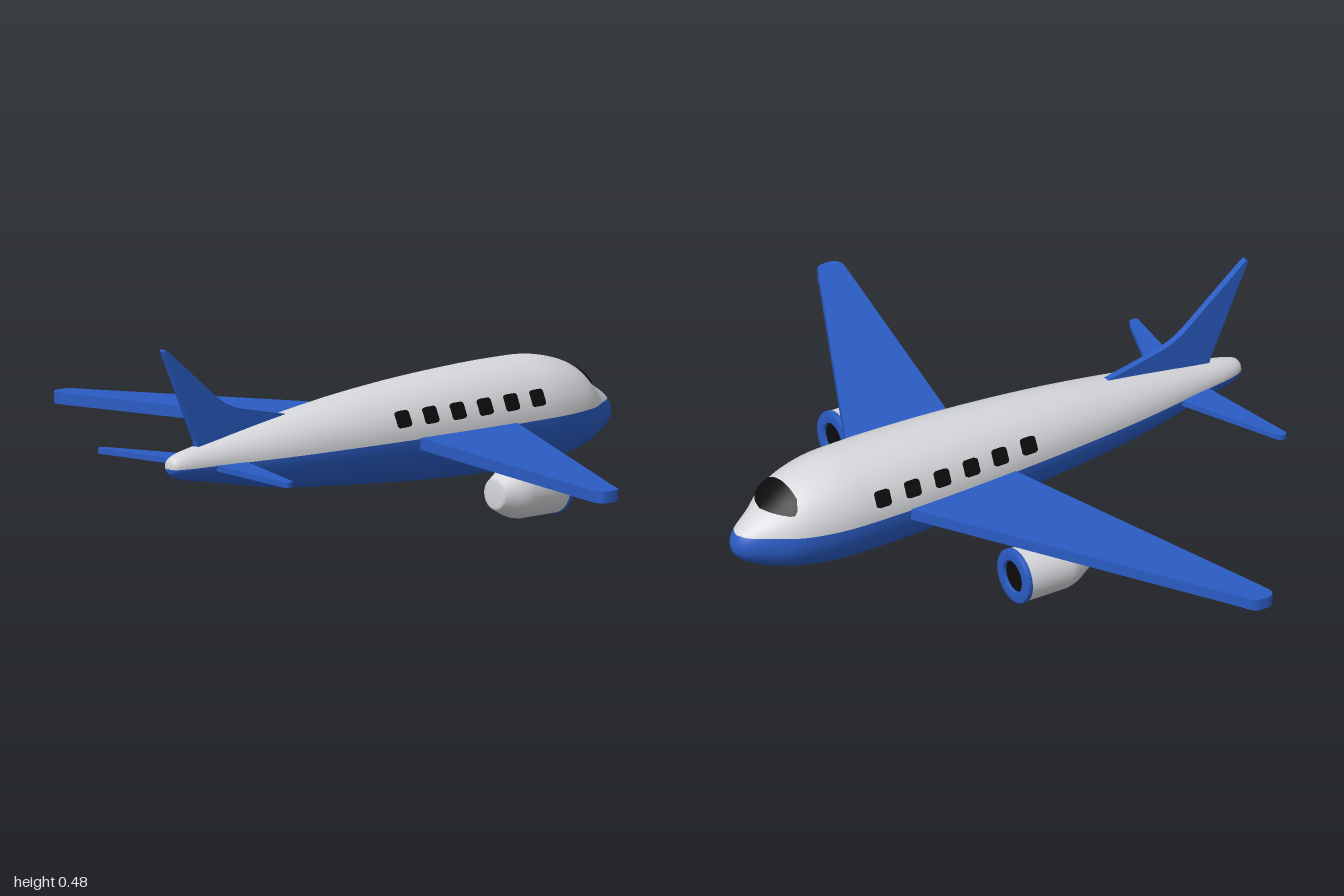
import * as THREE from 'three';

const paint = (name, color) => {
  const m = new THREE.MeshStandardMaterial({ color });
  m.name = name;
  return m;
};

// Fuselage outline: x, top, bottom (circular sections between them)
const STATIONS = [
  [-0.752, 0.18, 0.18], [-0.745, 0.2, 0.16], [-0.72, 0.211, 0.147], [-0.6, 0.231, 0.124],
  [-0.4, 0.262, 0.087], [-0.2, 0.287, 0.066], [0, 0.304, 0.05], [0.2, 0.314, 0.038],
  [0.4, 0.317, 0.033], [0.52, 0.311, 0.037], [0.62, 0.281, 0.053], [0.69, 0.226, 0.073],
  [0.75, 0.186, 0.103], [0.768, 0.162, 0.124], [0.772, 0.143, 0.143],
];
const STEPS = 8, LAST = STATIONS.length - 1;
const curve = new THREE.CatmullRomCurve3(STATIONS.map(s => new THREE.Vector3(...s)), false, 'centripetal');
const sections = curve.getPoints(LAST * STEPS).map(p => ({ x: p.x, c: (p.y + p.z) / 2, r: Math.abs(p.y - p.z) / 2 }));

// Band of fuselage skin between two stations, above or below the height edge(x)
function skin(from, to, edge, above, offset = 0) {
  const rings = sections.slice(from * STEPS, to * STEPS + 1), n = 40, pos = [], idx = [];
  rings.forEach(({ x, c, r }, i) => {
    const a = Math.asin(THREE.MathUtils.clamp((edge(x) - c) / Math.max(r, 1e-5), -1, 1));
    const start = above ? a : Math.PI - a, end = above ? Math.PI - a : 2 * Math.PI + a;
    for (let j = 0; j <= n; j++) {
      const t = start + (end - start) * j / n;
      pos.push(x + offset * 0.5, c + (r + offset) * Math.sin(t), (r + offset) * Math.cos(t));
      if (i && j < n) {
        const p = (i - 1) * (n + 1) + j, q = p + n + 1;
        idx.push(p, q, q + 1, p, q + 1, p + 1);
      }
    }
  });
  const g = new THREE.BufferGeometry();
  g.setAttribute('position', new THREE.Float32BufferAttribute(pos, 3));
  g.setIndex(idx);
  g.computeVertexNormals();
  return g;
}

const extrude = (shape, depth) => new THREE.ExtrudeGeometry(shape, { depth, bevelEnabled: false, curveSegments: 10 });

// Flat swept panel with a rounded tip; side mirrors it across z
function panel(side, rootBack, rootFront, tipBack, tipFront, span, round, top, thick) {
  const s = new THREE.Shape();
  s.moveTo(rootBack, 0);
  s.lineTo(tipBack, side * (span - round));
  s.quadraticCurveTo(tipBack - 0.003, side * span, tipBack + round * 0.8, side * span);
  s.lineTo(tipFront - round, side * span);
  s.quadraticCurveTo(tipFront - round * 0.3, side * span, tipFront, side * (span - round));
  s.lineTo(rootFront, 0);
  return extrude(s, thick).rotateX(Math.PI / 2).translate(0, top, 0);
}

function roundedRect(w, h, r) {
  const s = new THREE.Shape();
  s.absarc(w / 2 - r, h / 2 - r, r, 0, Math.PI / 2);
  s.absarc(-w / 2 + r, h / 2 - r, r, Math.PI / 2, Math.PI);
  s.absarc(-w / 2 + r, -h / 2 + r, r, Math.PI, Math.PI * 1.5);
  s.absarc(w / 2 - r, -h / 2 + r, r, Math.PI * 1.5, Math.PI * 2);
  return s;
}

// Profile of [radius, x] turned about the x axis
const turned = pts => new THREE.LatheGeometry(pts.map(p => new THREE.Vector2(...p)), 40).rotateZ(-Math.PI / 2);

export function createModel() {
  const white = paint('white', 0xd6d7db), blue = paint('blue', 0x2a5cc4), black = paint('black', 0x0c0c0c);
  const model = new THREE.Group();
  model.name = 'airplane';
  const add = (name, geometry, material, parent = model) => {
    const m = new THREE.Mesh(geometry, material);
    m.name = name;
    parent.add(m);
    return m;
  };

  // Fuselage: white above, blue below
  const waterline = () => 0.175;
  add('upperFuselage', skin(0, LAST, waterline, true), white);
  add('lowerFuselage', skin(0, LAST, waterline, false), blue);

  // Windshield, its lower back corners rounded
  const sill = x => 0.227 + 0.035 * Math.max(0, (0.645 - x) / 0.025) ** 2;
  add('windshield', skin(10, 11, sill, true, 0.004), black);

  // Tail fin
  const fin = new THREE.Shape();
  fin.moveTo(-0.65, 0.19);
  fin.lineTo(-0.66, 0.235);
  fin.lineTo(-0.773, 0.478);
  fin.quadraticCurveTo(-0.773, 0.487, -0.762, 0.479);
  fin.lineTo(-0.59, 0.341);
  fin.quadraticCurveTo(-0.55, 0.31, -0.5, 0.3);
  fin.lineTo(-0.345, 0.267);
  fin.lineTo(-0.4, 0.19);
  add('tailFin', extrude(fin, 0.018).translate(0, 0, -0.009), blue);

  for (const side of [1, -1]) {
    // Wing and tailplane
    add('wing', panel(side, 0.035, 0.405, -0.202, -0.125, 1, 0.035, 0.178, 0.03), blue);
    add('tailplane', panel(side, -0.622, -0.513, -0.67, -0.642, 0.345, 0.014, 0.176, 0.014), blue);

    // Engine under the wing
    const engine = new THREE.Group();
    engine.name = 'engine';
    engine.position.set(0, 0.072, side * 0.41);
    model.add(engine);
    add('nacelle', turned([[0, -0.012], [0.034, -0.012], [0.041, -0.007], [0.058, 0.025],
      [0.066, 0.045], [0.07, 0.065], [0.07, 0.188]]), white, engine);
    add('intakeRing', turned([[0.068, 0.186], [0.072, 0.187], [0.072, 0.197], [0.068, 0.202],
      [0.044, 0.202], [0.042, 0.199], [0.042, 0.186]]), blue, engine);
    const intake = add('intake', new THREE.CircleGeometry(0.043, 32).rotateY(Math.PI / 2), black, engine);
    intake.position.x = 0.192;

    // Row of cabin windows lying on the skin
    for (let i = 0; i < 6; i++) {
      const x = -0.043 + i * 0.09;
      const { c, r } = sections.find(s => s.x >= x);
      const tilt = Math.asin((0.23 - c) / r);
      const pane = add('cabinWindow', extrude(roundedRect(0.043, 0.043, 0.009), 0.009), black);
      pane.position.set(x, c + (r - 0.004) * Math.sin(tilt), side * (r - 0.004) * Math.cos(tilt));
      pane.rotation.x = side > 0 ? -tilt : Math.PI + tilt;
    }
  }
  return model;
}
